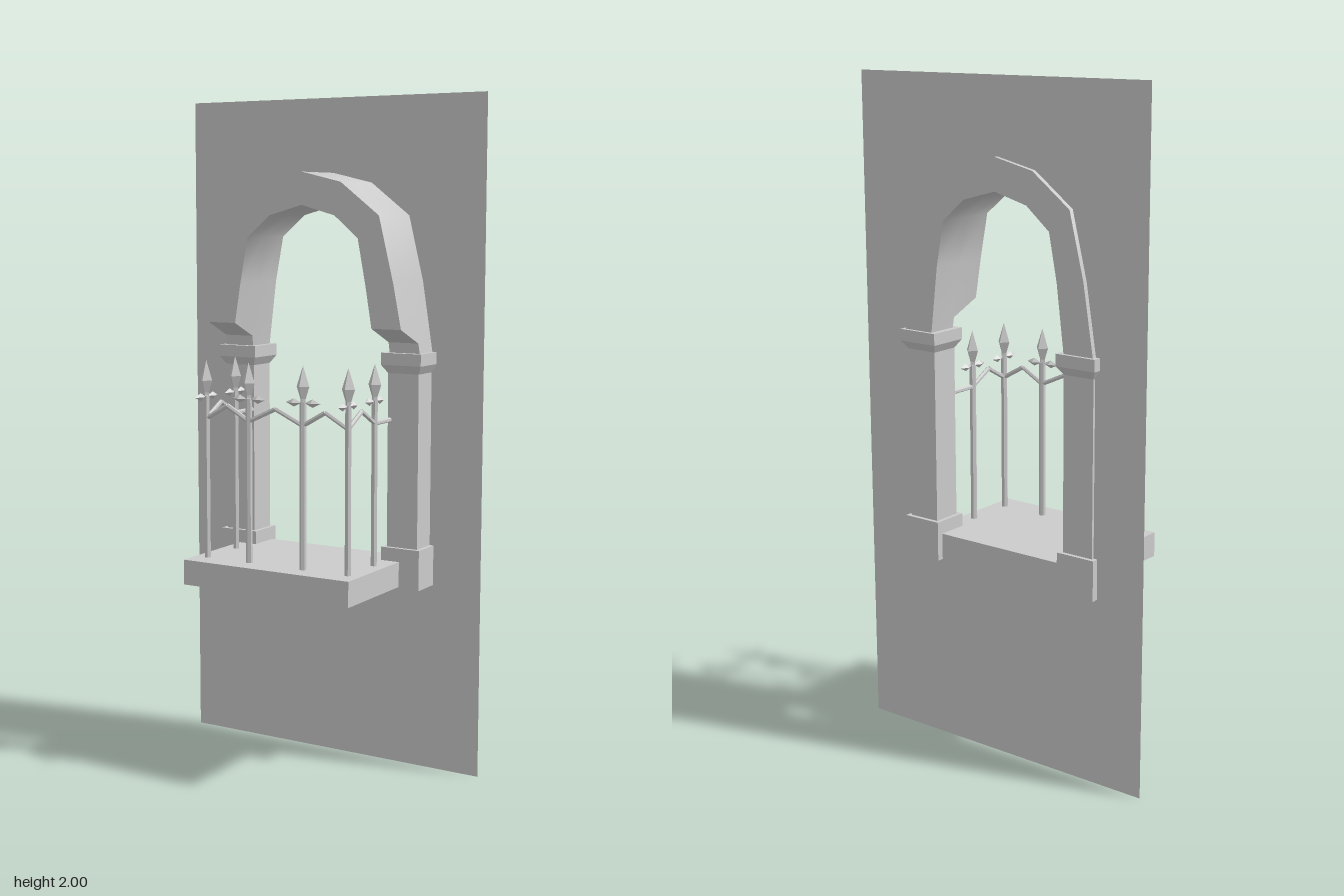
import * as THREE from 'three';
import { toCreasedNormals } from 'three/addons/utils/BufferGeometryUtils.js';

const stone = new THREE.MeshStandardMaterial({ color: 0xcccccc });
const thin = new THREE.MeshStandardMaterial({ color: 0xcccccc, side: THREE.DoubleSide });
const iron = new THREE.MeshStandardMaterial({ color: 0xcccccc, flatShading: true });

function add(parent, name, geometry, material = stone) {
  const mesh = new THREE.Mesh(geometry, material);
  mesh.name = name;
  parent.add(mesh);
  return mesh;
}

// Box given by its limits
function block(x0, x1, y0, y1, z0, z1) {
  return new THREE.BoxGeometry(x1 - x0, y1 - y0, z1 - z0)
    .translate((x0 + x1) / 2, (y0 + y1) / 2, (z0 + z1) / 2);
}

// Straight bar between two points
function bar(parent, name, a, b, radius, sides = 6) {
  const dir = b.clone().sub(a);
  const mesh = add(parent, name, new THREE.CylinderGeometry(radius, radius, dir.length(), sides), iron);
  mesh.position.copy(a).add(b).multiplyScalar(0.5);
  mesh.quaternion.setFromUnitVectors(new THREE.Vector3(0, 1, 0), dir.normalize());
}

// Right half from springing to crown, mirrored into a full curve
const mirrored = (half) => [...half, ...half.slice(0, -1).reverse().map(([x, y]) => [-x, y])]
  .map(([x, y]) => new THREE.Vector2(x, y));
const SPRING = 1.26;
const OUTER = [[0.335, SPRING], [0.328, 1.335], [0.302, 1.465], [0.255, 1.655], [0.13, 1.75], [0, 1.78]];
const INNER = [[0.237, SPRING], [0.233, 1.335], [0.213, 1.455], [0.187, 1.59], [0.11, 1.655], [0, 1.685]];

// Arch ring whose feet are cut back with a sloped underside in front of the pillars
function archGeometry() {
  // the second ring point is left out so the feet can slide freely
  const drop = (half) => half.filter((p, i) => i !== 1);
  const shape = new THREE.Shape([...mirrored(drop(OUTER)), ...mirrored(drop(INNER)).reverse()]);
  const geo = new THREE.ExtrudeGeometry(shape, { depth: 3, steps: 3, bevelEnabled: false });
  const depthAt = [-0.2, -0.104, -0.1, 0];
  const footAt = [SPRING, SPRING, 1.29, 1.335];
  const pos = geo.attributes.position;
  for (let i = 0; i < pos.count; i++) {
    const k = Math.round(pos.getZ(i));
    if (pos.getY(i) < SPRING + 0.001) {
      const x = pos.getX(i);
      const t = (footAt[k] - SPRING) / 0.075;
      const inset = (Math.abs(x) > 0.3 ? 0.007 : 0.004) * t;
      pos.setXY(i, x - Math.sign(x) * inset, footAt[k]);
    }
    pos.setZ(i, depthAt[k]);
  }
  return toCreasedNormals(geo, 0.9);
}

// Wall panel with the arched opening
function wallGeometry() {
  const shape = new THREE.Shape([[-0.5, 0], [0.5, 0], [0.5, 2], [-0.5, 2]].map((p) => new THREE.Vector2(...p)));
  const hole = mirrored([[0.235, 0.645], ...INNER.map(([x, y]) => [x * 1.03, y + (y > 1.5 ? 0.01 : 0)])]);
  shape.holes.push(new THREE.Path(hole));
  return new THREE.ShapeGeometry(shape).translate(0, 0, -0.185);
}

// Pillar with base block and flared capital; side is +1 or -1
function pillar(side) {
  const group = new THREE.Group();
  group.name = side > 0 ? 'leftPillar' : 'rightPillar';
  add(group, 'base', block(-0.0625, 0.0625, 0.565, 0.685, -0.0575, 0.0575));
  add(group, 'shaft', block(-0.05, 0.05, 0.685, 1.21, -0.045, 0.045));
  add(group, 'capital', block(-0.065, 0.065, 1.225, SPRING, -0.0625, 0.0625));
  const flare = block(-0.065, 0.065, 1.2, 1.225, -0.0625, 0.0625);
  const pos = flare.attributes.position;
  for (let i = 0; i < pos.count; i++) {
    if (pos.getY(i) < 1.21) pos.setXYZ(i, pos.getX(i) * 0.77, 1.2, pos.getZ(i) * 0.72);
  }
  flare.deleteAttribute('normal');
  add(group, 'capitalFlare', toCreasedNormals(flare, 0.3));
  group.position.set(side * 0.283, 0, -0.148);
  return group;
}

// Fence post with a spear tip and two side leaves; turned posts carry them along z
function post(x, z, turned) {
  const group = new THREE.Group();
  group.name = 'fencePost';
  add(group, 'post', new THREE.CylinderGeometry(0.01, 0.01, 0.49, 6).translate(0, 0.885, 0), iron);
  const tip = [[0.009, 1.12], [0.009, 1.14], [0.021, 1.175], [0, 1.235]].map((p) => new THREE.Vector2(...p));
  add(group, 'spearTip', new THREE.LatheGeometry(tip, 4), iron);
  for (const s of [-1, 1]) {
    const leaf = new THREE.OctahedronGeometry(1).scale(0.026, 0.012, 0.012).translate(s * 0.031, 1.128, 0);
    add(group, 'sideLeaf', leaf, iron);
  }
  group.position.set(x, 0, z);
  if (turned) group.rotation.y = Math.PI / 2;
  return group;
}

export function createModel() {
  const model = new THREE.Group();
  model.name = 'archedBalcony';

  add(model, 'wall', wallGeometry(), thin);
  add(model, 'arch', archGeometry());
  add(model, 'balconyFloor', block(-0.28, 0.28, 0.57, 0.645, -0.185, 0.21));
  for (const side of [-1, 1]) model.add(pillar(side));

  // Railing: posts in order around the balcony
  const railing = new THREE.Group();
  railing.name = 'railing';
  model.add(railing);
  const spots = [[-0.24, -0.01], [-0.24, 0.143], [-0.092, 0.143], [0.092, 0.143], [0.24, 0.143], [0.24, -0.01]];
  for (const [x, z] of spots) railing.add(post(x, z, Math.abs(x) > 0.2));

  // Peaked rail between neighbouring posts
  const LOW = 1.063, PEAK = 1.105;
  for (let i = 0; i + 1 < spots.length; i++) {
    const a = new THREE.Vector3(spots[i][0], LOW, spots[i][1]);
    const b = new THREE.Vector3(spots[i + 1][0], LOW, spots[i + 1][1]);
    const mid = a.clone().lerp(b, 0.5).setY(PEAK);
    bar(railing, 'rail', a, mid, 0.007);
    bar(railing, 'rail', mid, b, 0.007);
  }
  // Level rail back to each pillar
  for (const side of [-1, 1]) {
    bar(railing, 'wallRail', new THREE.Vector3(side * 0.24, LOW, -0.01), new THREE.Vector3(side * 0.24, LOW, -0.11), 0.007);
  }
  return model;
}
